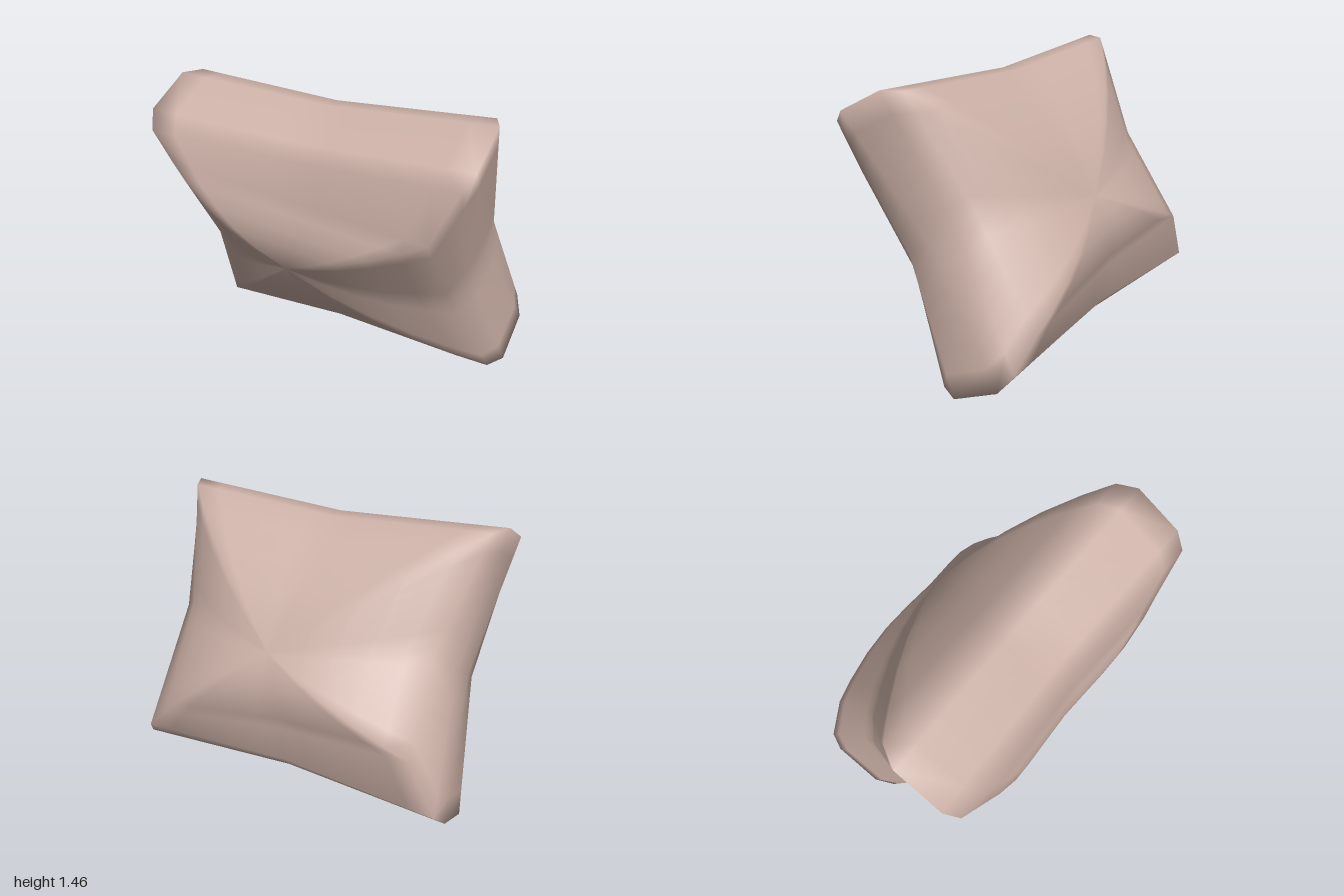
import * as THREE from 'three';

const V = (x, y, z) => new THREE.Vector3(x, y, z);
const MID = V(0, 0.73, 0);
const opposite = p => V(-p.x, 1.46 - p.y, -p.z);

// Rounded corner arches, each running from the left wall over to the right wall
const backTop = [V(-0.8, 1.1, -0.4), V(-0.84, 1.24, -0.53), V(-0.8, 1.33, -0.6), V(-0.57, 1.46, -0.72), V(-0.45, 1.46, -0.72)];
const frontTop = [V(-0.15, 0.97, 0.88), V(-0.08, 1.26, 1), V(0, 1.33, 1), V(0.23, 1.46, 0.88), V(0.3, 1.46, 0.79)];
const frontBottom = backTop.map(opposite).reverse();
const backBottom = frontTop.map(opposite).reverse();
const corners = [backTop, frontTop, frontBottom, backBottom];

// Closed outline through the four corners, pinched inward halfway along each side
const STEPS = 6;
function outline(t) {
  const ring = [];
  corners.forEach((arch, k) => {
    const a = arch[t], b = corners[(k + 1) % 4][t];
    const mid = a.clone().lerp(b, 0.5).lerp(MID, k % 2 ? 0.09 : 0.065);
    for (let i = 0; i < STEPS; i++) ring.push(a.clone().lerp(mid, i / STEPS));
    for (let i = 0; i < STEPS; i++) ring.push(mid.clone().lerp(b, i / STEPS));
  });
  return ring;
}

// Wall rings shrinking from an outline to the centre, gently domed
function wallRing(edge, centre, s) {
  const out = centre.clone().sub(MID).normalize();
  return edge.map(p => centre.clone().lerp(p, s).addScaledVector(out, 0.24 * s * (1 - s)));
}

export function createModel() {
  const leftCentre = V(-0.45, 0.61, 0.13);
  const rightCentre = opposite(leftCentre);
  const shrink = [0.05, 0.25, 0.45, 0.65, 0.85];
  const bands = [0, 1, 2, 3, 4].map(outline);
  const rows = [
    ...shrink.map(s => wallRing(bands[0], leftCentre, s)),
    ...bands,
    ...shrink.slice().reverse().map(s => wallRing(bands[4], rightCentre, s)),
  ];

  // Skin the rings and close both wall centres
  const n = rows[0].length;
  const points = rows.flat().concat(leftCentre, rightCentre);
  const index = [];
  const at = (j, i) => j * n + (i % n);
  const last = rows.length - 1;
  for (let i = 0; i < n; i++) {
    for (let j = 0; j < last; j++) {
      index.push(at(j, i), at(j, i + 1), at(j + 1, i));
      index.push(at(j, i + 1), at(j + 1, i + 1), at(j + 1, i));
    }
    index.push(rows.length * n, at(0, i + 1), at(0, i));
    index.push(rows.length * n + 1, at(last, i), at(last, i + 1));
  }
  const geometry = new THREE.BufferGeometry().setFromPoints(points);
  geometry.setIndex(index);
  geometry.computeVertexNormals();

  const material = new THREE.MeshStandardMaterial({ color: 0xcbb0a6, side: THREE.DoubleSide });
  material.name = 'dusty pink';
  const body = new THREE.Mesh(geometry, material);
  body.name = 'pillowBody';
  const group = new THREE.Group();
  group.name = 'flaredPillow';
  group.add(body);
  return group;
}
